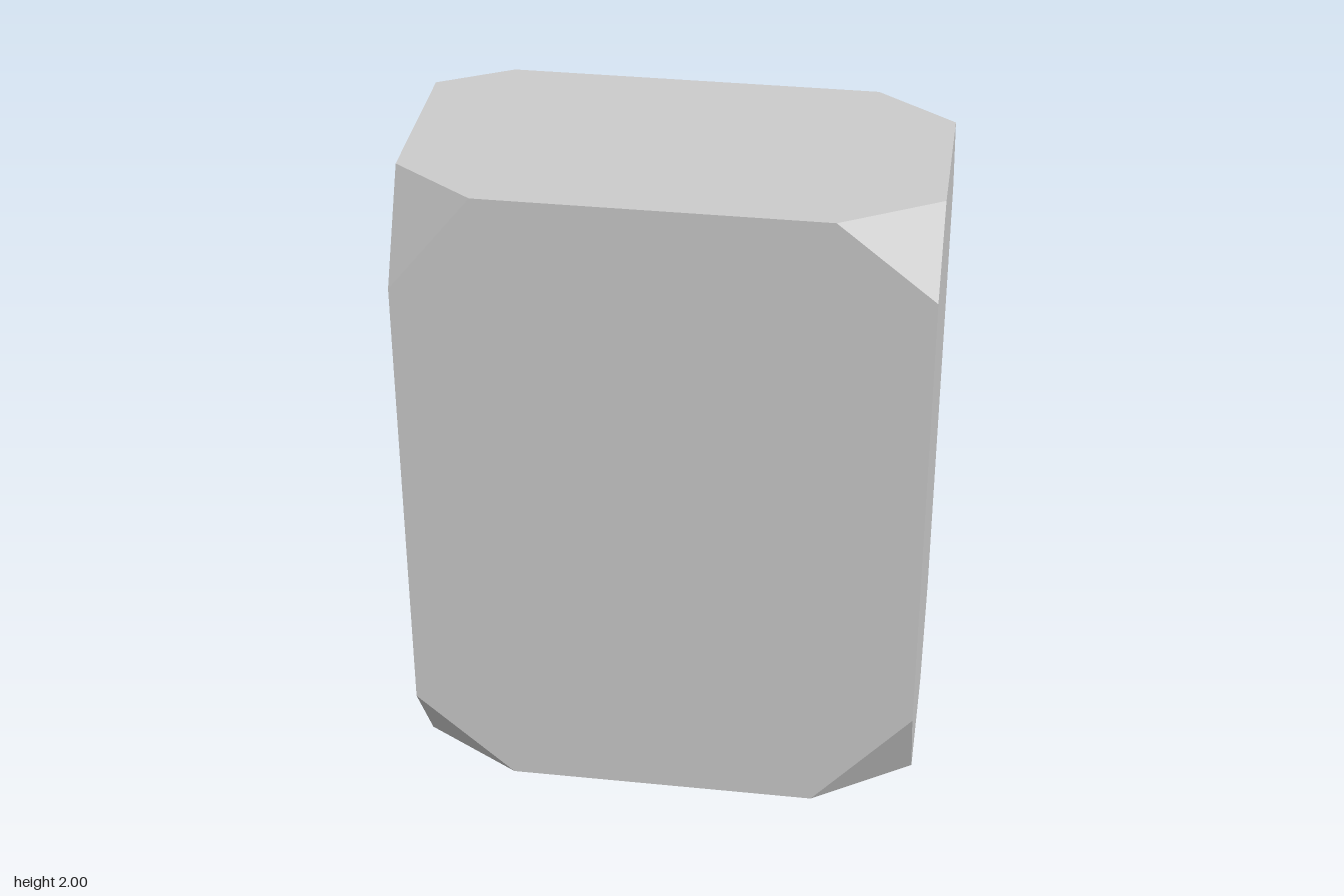
import * as THREE from 'three';
import { ConvexGeometry } from 'three/addons/geometries/ConvexGeometry.js';

// Half sizes of the block
const HX = 0.755, HY = 1, HZ = 0.4;

// Each corner: signs of x, y, z and how far the cut reaches along each edge
const corners = [
  { sign: [1, 1, 1], cut: [0.28, 0.225, 0.165] },
  { sign: [-1, 1, 1], cut: [0.24, 0.3, 0.17] },
  { sign: [1, 1, -1], cut: [0.23, 0.285, 0.165] },
  { sign: [-1, 1, -1], cut: [0.212, 0.165, 0.117] },
  { sign: [1, -1, 1], cut: [0.295, 0.34, 0.2] },
  { sign: [-1, -1, 1], cut: [0.295, 0.265, 0.175] },
  { sign: [1, -1, -1], cut: [0.28, 0.255, 0.177] },
  { sign: [-1, -1, -1], cut: [0.318, 0.363, 0.215] },
];

export function createModel() {
  const group = new THREE.Group();
  group.name = 'chippedBlock';

  // Three points per corner, one slid back along each edge
  const points = [];
  for (const { sign, cut } of corners) {
    for (let axis = 0; axis < 3; axis++) {
      const p = new THREE.Vector3(sign[0] * HX, sign[1] * HY, sign[2] * HZ);
      p.setComponent(axis, p.getComponent(axis) - sign[axis] * cut[axis]);
      points.push(p);
    }
  }

  // Block with its corners cut off
  const block = new THREE.Mesh(
    new ConvexGeometry(points),
    new THREE.MeshStandardMaterial({ color: 0xcccccc, flatShading: true })
  );
  block.name = 'block';
  block.position.y = HY;
  group.add(block);
  return group;
}
